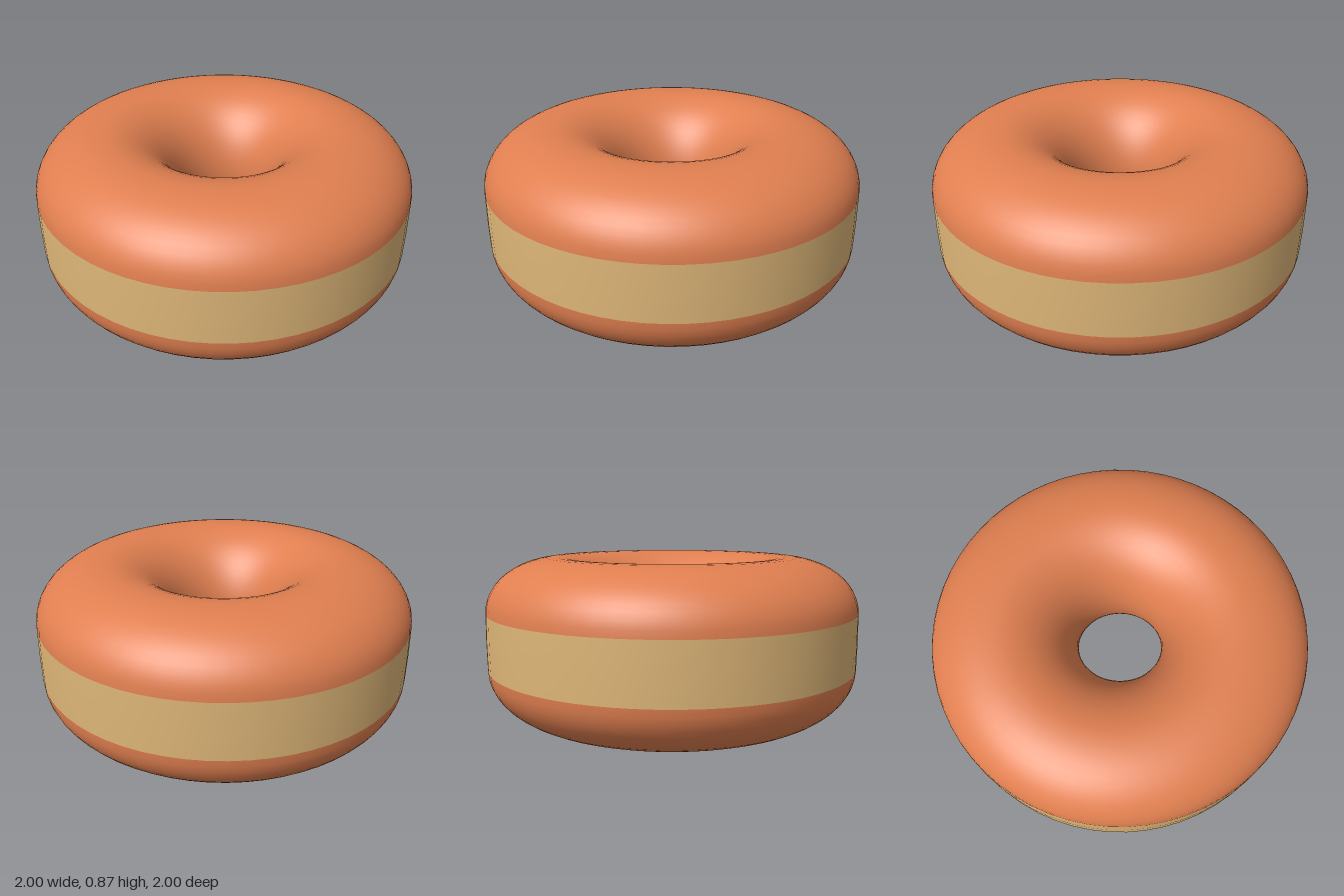
import * as THREE from 'three';

const SEGMENTS = 64;
const HEIGHT = 0.87, MID = HEIGHT / 2;
const OUTER = 0.998, HOLE = 0.23, CROWN = 0.62; // radii of wall, hole and highest ring
const BAND_LOW = 0.29, BAND_HIGH = 0.587;

// Points on an elliptical arc around (cx, cy)
function arc(cx, cy, rx, ry, from, to, steps) {
  return Array.from({ length: steps + 1 }, (_, i) => {
    const a = from + (to - from) * i / steps;
    return new THREE.Vector2(cx + rx * Math.cos(a), cy + ry * Math.sin(a));
  });
}

export function createModel() {
  const dough = new THREE.MeshStandardMaterial({ color: 0xe07f50 });
  dough.name = 'orange dough';
  const cream = new THREE.MeshStandardMaterial({ color: 0xdeb678 });
  cream.name = 'tan band';

  const group = new THREE.Group();
  group.name = 'ring';
  const add = (name, points, material) => {
    const mesh = new THREE.Mesh(new THREE.LatheGeometry(points, SEGMENTS), material);
    mesh.name = name;
    group.add(mesh);
  };

  // Rounded ring: upper shoulder, through the hole, lower shoulder
  const { PI } = Math;
  add('ringBody', [
    ...arc(CROWN, BAND_HIGH, OUTER - CROWN, HEIGHT - BAND_HIGH, 0, PI / 2, 12),
    ...arc(CROWN, MID, CROWN - HOLE, MID, PI / 2, PI * 1.5, 28).slice(1),
    ...arc(CROWN, BAND_LOW, OUTER - CROWN, BAND_LOW, PI * 1.5, PI * 2, 12).slice(1),
  ], dough);

  // Straight band around the waist
  add('waistBand', [
    new THREE.Vector2(OUTER, BAND_LOW),
    new THREE.Vector2(1, MID),
    new THREE.Vector2(OUTER, BAND_HIGH),
  ], cream);

  return group;
}
